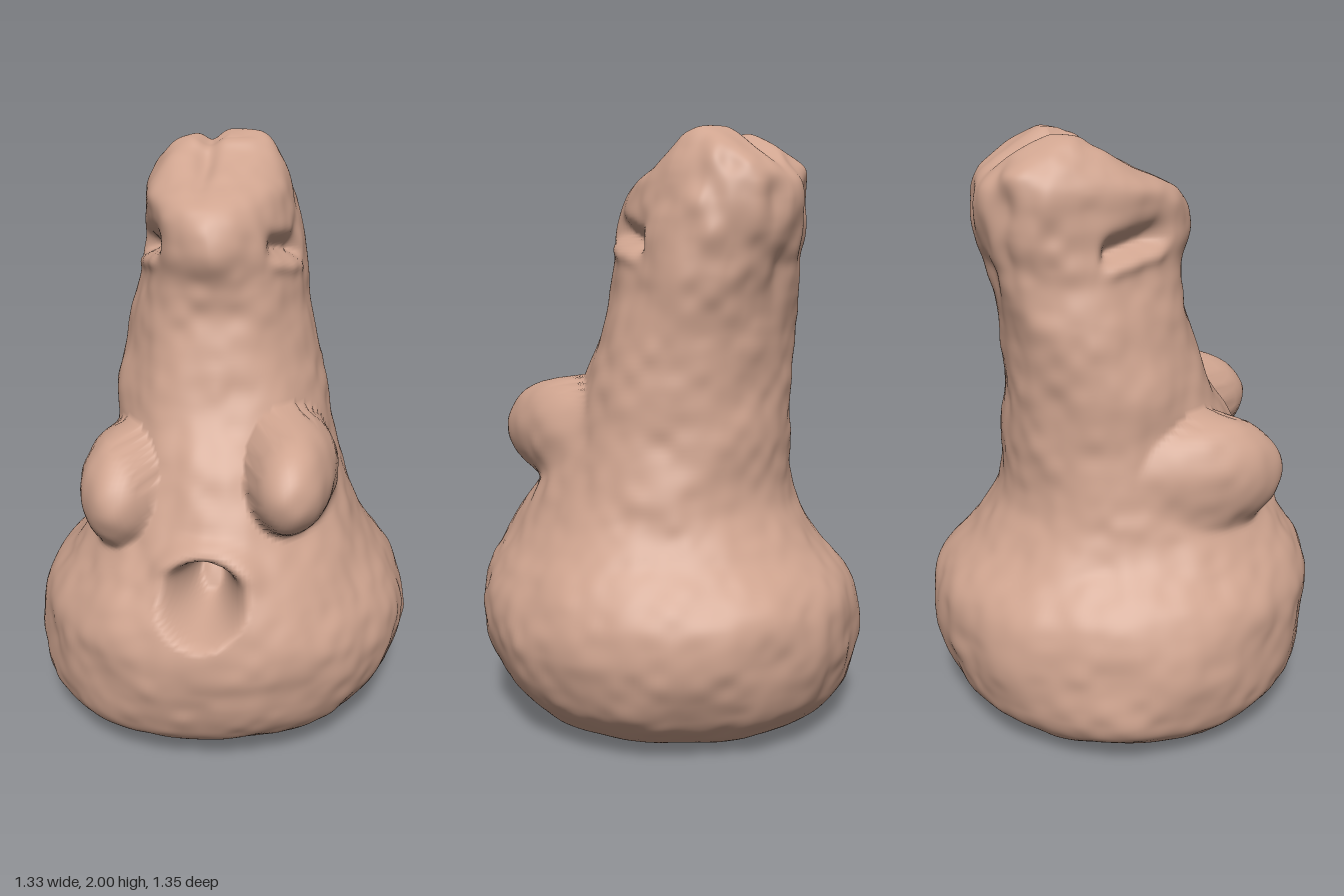
import * as THREE from 'three';

// Cross-sections: height, right x, left x, front z, back z
const SECTIONS = [
  [0.015, -0.20, 0.18, 0.15, -0.20],
  [0.01, -0.46, 0.40, 0.36, -0.42],
  [0.10, -0.62, 0.53, 0.54, -0.58],
  [0.20, -0.66, 0.61, 0.62, -0.64],
  [0.35, -0.655, 0.655, 0.66, -0.67],
  [0.50, -0.62, 0.625, 0.67, -0.645],
  [0.65, -0.50, 0.53, 0.60, -0.51],
  [0.80, -0.43, 0.45, 0.50, -0.435],
  [1.00, -0.385, 0.38, 0.39, -0.415],
  [1.20, -0.37, 0.33, 0.27, -0.41],
  [1.40, -0.345, 0.29, 0.20, -0.425],
  [1.55, -0.31, 0.27, 0.20, -0.45],
  [1.68, -0.295, 0.25, 0.24, -0.485],
  [1.80, -0.29, 0.215, 0.18, -0.485],
  [1.87, -0.27, 0.195, 0.04, -0.455],
  [1.94, -0.22, 0.16, -0.10, -0.37],
  [1.98, -0.16, 0.12, -0.15, -0.28],
  [1.99, -0.06, 0.06, -0.18, -0.25],
];
// Chest mounds: centre and radii
const MOUNDS = [
  { c: [0.25, 0.98, 0.24], r: [0.15, 0.19, 0.30] },
  { c: [-0.30, 0.89, 0.20], r: [0.16, 0.20, 0.28] },
];
const AROUND = 220, ROWS = 210;

// Smooth lattice noise for the hand-worked clay
const hash = (x, y, z) => {
  const s = Math.sin(x * 127.1 + y * 311.7 + z * 74.7) * 43758.5453;
  return (s - Math.floor(s)) * 2 - 1;
};
function noise(x, y, z) {
  const X = Math.floor(x), Y = Math.floor(y), Z = Math.floor(z);
  const ease = (t) => t * t * (3 - 2 * t);
  const u = ease(x - X), v = ease(y - Y), w = ease(z - Z);
  let sum = 0;
  for (let i = 0; i < 2; i++) for (let j = 0; j < 2; j++) for (let k = 0; k < 2; k++) {
    sum += hash(X + i, Y + j, Z + k) * (i ? u : 1 - u) * (j ? v : 1 - v) * (k ? w : 1 - w);
  }
  return sum;
}
const gauss = (d, s) => Math.exp(-(d * d) / (s * s));
const step = THREE.MathUtils.smoothstep;

// Catmull-Rom blend of the sections
function sectionAt(t) {
  const n = SECTIONS.length - 1, f = t * n, i = Math.min(Math.floor(f), n - 1), u = f - i;
  const get = (k) => SECTIONS[THREE.MathUtils.clamp(k, 0, n)];
  const [a, b, c, d] = [get(i - 1), get(i), get(i + 1), get(i + 2)];
  return b.map((p, k) => p + 0.5 * u * (c[k] - a[k]
    + u * (2 * a[k] - 5 * p + 4 * c[k] - d[k] + u * (3 * (p - c[k]) + d[k] - a[k]))));
}

// Distance along a horizontal ray to the far side of a mound
function moundExit(m, ox, y, oz, dx, dz) {
  const [px, py, pz] = [(ox - m.c[0]) / m.r[0], (y - m.c[1]) / m.r[1], (oz - m.c[2]) / m.r[2]];
  const qx = dx / m.r[0], qz = dz / m.r[2];
  const A = qx * qx + qz * qz, B = px * qx + pz * qz, C = px * px + py * py + pz * pz - 1;
  const D = B * B - A * C;
  return D < 0 ? -1 : (-B + Math.sqrt(D)) / A;
}
function smoothMax(a, b, k) {
  const h = Math.max(k - Math.abs(a - b), 0) / k;
  return Math.max(a, b) + h * h * k * 0.25;
}

function surfacePoint(t, angle) {
  const [y, xr, xl, zf, zb] = sectionAt(t);
  // the widest line drifts back, the face narrows to a snout and the nape squares off
  const zc = -0.22 * step(y, 0.6, 1.8);
  const c = Math.cos(angle), s = Math.sin(angle);
  const e = 2 / (s > 0 ? 2 - 0.3 * gauss(y - 1.68, 0.15) : 2 + 0.5 * step(y, 1.1, 1.75));
  const cx = (xr + xl) / 2;
  const x0 = Math.sign(c) * Math.abs(c) ** e * (xl - xr) / 2;
  const z0 = Math.sign(s) * Math.abs(s) ** e * (s > 0 ? zf - zc : zc - zb);
  let r = Math.hypot(x0, z0);
  const dx = x0 / r, dz = z0 / r;

  // chest mounds
  for (const m of MOUNDS) {
    const exit = moundExit(m, cx, y, zc, dx, dz);
    if (exit > 0) r = smoothMax(r, exit, 0.05);
  }
  const x = cx + dx * r, z = zc + dz * r;

  // belly hollow with an overhanging lip
  if (dz > 0) {
    const d = Math.hypot(x / 0.14, (y - 0.65) / 0.125);
    r -= 0.24 * (1 - step(d, 0.45, 1.05));
    r += 0.03 * gauss(d - 1.2, 0.22) * step(y, 0.66, 0.76);
  }
  // slit eyes on both sides of the head
  const off = y - (1.645 + 0.2 * (z + 0.02));
  const along = 1 - step(Math.abs(z + 0.02), 0.07, 0.14);
  r -= 0.06 * along * (off < 0 ? gauss(off, 0.02) : gauss(off, 0.05));
  r += 0.012 * along * gauss(off + 0.05, 0.025);

  // uneven clay, rougher on the back of the head
  const rough = step(y, 1.4, 1.65) * step(-z, 0.25, 0.4);
  const fade = Math.min(1, r / 0.2);
  r += fade * (0.014 * noise(x * 6, y * 6, z * 6) + 0.005 * noise(x * 17, y * 17, z * 17)
    + rough * (0.022 * noise(x * 14 + 5, y * 9, z * 14) - 0.005));
  const top = step(y, 1.8, 1.95);
  const py = y + top * (0.016 * noise(x * 11, 3, z * 11) - 0.03 * gauss(x + 0.07, 0.035));
  return [cx + dx * r, THREE.MathUtils.clamp(py, 0, 2), zc + dz * r];
}

function figureGeometry() {
  const pos = [], index = [];
  for (let j = 0; j <= ROWS; j++) {
    for (let i = 0; i < AROUND; i++) pos.push(...surfacePoint(j / ROWS, (i / AROUND) * Math.PI * 2));
  }
  // centre points closing the foot and the crown
  const bottom = pos.length / 3, crown = bottom + 1, last = ROWS * AROUND;
  pos.push(0, 0.02, -0.02, 0, 1.995, -0.21);
  for (let i = 0; i < AROUND; i++) {
    const n = (i + 1) % AROUND;
    for (let j = 0; j < ROWS; j++) {
      const a = j * AROUND + i, b = j * AROUND + n;
      index.push(a, a + AROUND, b, b, a + AROUND, b + AROUND);
    }
    index.push(bottom, i, n, crown, last + n, last + i);
  }
  const g = new THREE.BufferGeometry();
  g.setAttribute('position', new THREE.Float32BufferAttribute(pos, 3));
  g.setIndex(index);
  g.computeVertexNormals();
  return g;
}

export function createModel() {
  const clay = new THREE.MeshStandardMaterial({ color: 0xcfa48f });
  clay.name = 'terracotta clay';
  const figure = new THREE.Mesh(figureGeometry(), clay);
  figure.name = 'clayFigurine';
  const group = new THREE.Group();
  group.name = 'figurine';
  group.add(figure);
  return group;
}
